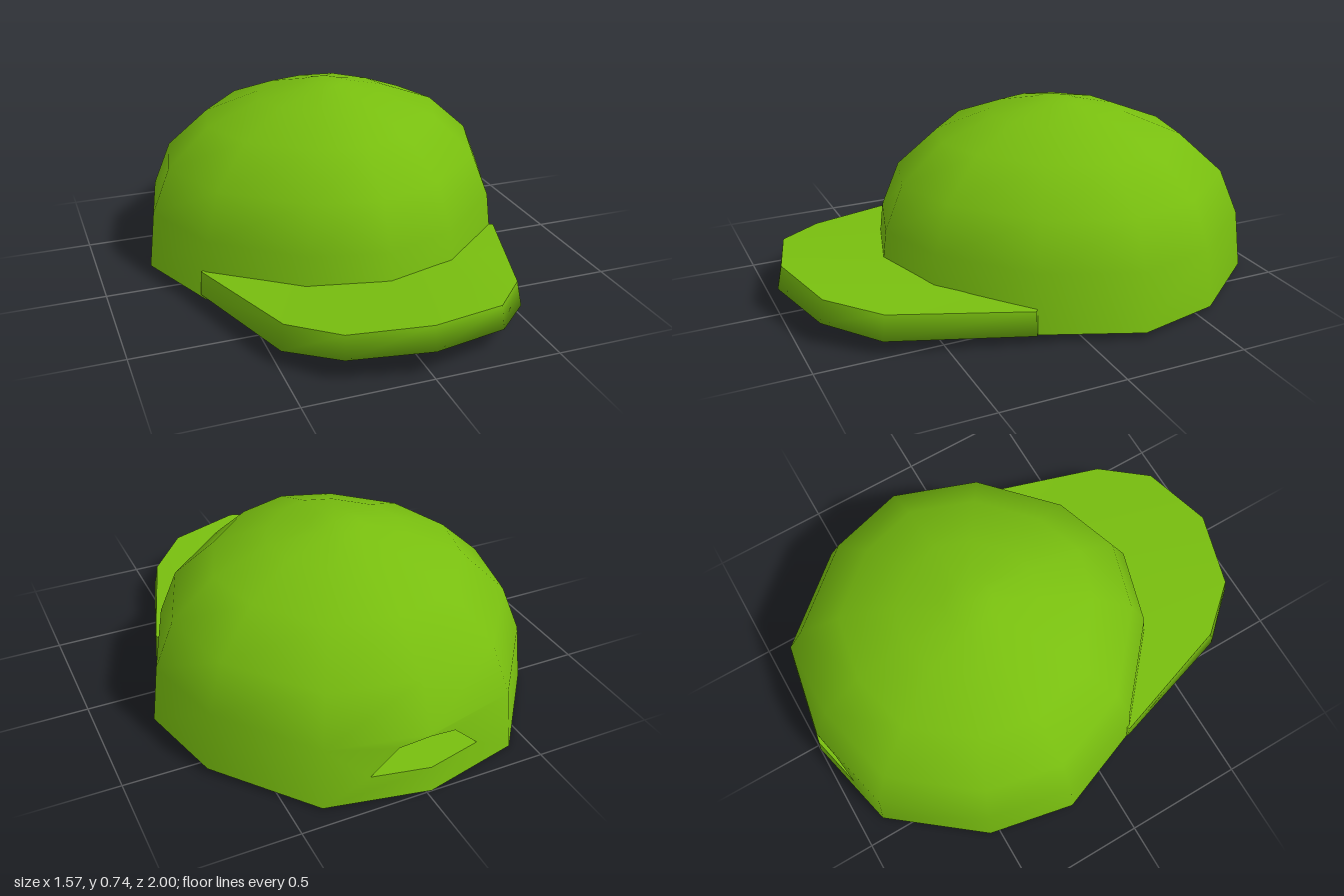
import * as THREE from 'three';
import { mergeGeometries, mergeVertices } from 'three/addons/utils/BufferGeometryUtils.js';

const V = (x, y, z) => new THREE.Vector3(x, y, z);

// Geometry from triangles given as a flat list of points
const fromTriangles = (pts) => new THREE.BufferGeometry().setFromPoints(pts);
const smooth = (geo) => {
  const g = mergeVertices(geo, 1e-4);
  g.computeVertexNormals();
  return g;
};
const flat = (geo) => {
  geo.computeVertexNormals();
  return geo;
};
const quad = (a, b, c, d) => [a, b, c, a, c, d];

// Strip of quads between two rows of points
const strip = (low, high) => {
  const pts = [];
  for (let i = 0; i < low.length - 1; i++) pts.push(...quad(low[i], low[i + 1], high[i + 1], high[i]));
  return pts;
};

// Crown footprint [x, z], from the front round by +x
const CENTRE_Z = -0.21;
const FOOT = [
  [0.01, 0.58], [0.32, 0.475], [0.64, 0.18], [0.785, -0.21], [0.69, -0.565], [0.385, -0.925],
  [-0.02, -1], [-0.42, -0.905], [-0.71, -0.54], [-0.785, -0.18], [-0.64, 0.2], [-0.305, 0.49],
];
// Crown profile [radius factor, height]
const PROFILE = [[1, 0.02], [0.965, 0.26], [0.868, 0.447], [0.645, 0.605], [0.36, 0.692], [0.125, 0.735], [0, 0.738]];

function crownPoint(ring, column) {
  const [s, h] = PROFILE[ring];
  const [x, z] = FOOT[column % FOOT.length];
  const dz = (z - CENTRE_Z) * s;
  return V(x * s, h + 0.025 * dz + 0.01 * x * s, CENTRE_Z + dz);
}

// Point on the lowest band of one crown column
function bandPoint(column, u, v) {
  const low = crownPoint(0, column).lerp(crownPoint(0, column + 1), u);
  const high = crownPoint(1, column).lerp(crownPoint(1, column + 1), u);
  return low.lerp(high, v);
}

// Back opening: half profile [distance from the centre column, height in band]
const OPENING = [[0, 0.42], [0.57, 0.42], [0.3, 0.85], [0, 0.97]];
const BACK = 6;

function crownGeometry() {
  const pts = [];
  for (let r = 0; r < PROFILE.length - 1; r++) {
    for (let c = 0; c < FOOT.length; c++) {
      if (r === 0 && (c === BACK - 1 || c === BACK)) continue;
      const a = crownPoint(r, c), b = crownPoint(r, c + 1);
      const d = crownPoint(r + 1, c), e = crownPoint(r + 1, c + 1);
      if (r === PROFILE.length - 2) pts.push(a, b, e);
      else pts.push(...quad(a, b, e, d));
    }
  }
  const parts = [fromTriangles(pts)];
  // The two rear panels, cut away around the opening
  for (const column of [BACK - 1, BACK]) {
    const outline = [[1, 0], [0, 0], ...OPENING, [0, 1], [1, 1]];
    const shape = new THREE.Shape(outline.map(([d, v]) => new THREE.Vector2(column === BACK ? d : 1 - d, v)));
    const panel = new THREE.ShapeGeometry(shape).toNonIndexed();
    const p = panel.attributes.position;
    const mapped = [];
    for (let i = 0; i < p.count; i++) mapped.push(bandPoint(column, p.getX(i), p.getY(i)));
    parts.push(fromTriangles(mapped));
  }
  return smooth(mergeGeometries(parts));
}

// Flat floor closing the crown
function baseGeometry() {
  const pts = [];
  const centre = V(0, PROFILE[0][1], CENTRE_Z);
  for (let c = 0; c < FOOT.length; c++) pts.push(centre, crownPoint(0, c + 1), crownPoint(0, c));
  return flat(fromTriangles(pts));
}

// Pocket running inward from the back opening
function pocketGeometry() {
  const right = OPENING.map(([d, v]) => bandPoint(BACK, d, v));
  const left = OPENING.map(([d, v]) => bandPoint(BACK - 1, 1 - d, v));
  const loop = [...right, left[2], left[1], right[0]];
  const inner = loop.map((p) => V(p.x, p.y, -0.6));
  const pts = strip(inner, loop);
  for (let i = 1; i < inner.length - 2; i++) pts.push(inner[0], inner[i], inner[i + 1]);
  return flat(fromTriangles(pts));
}

// Brim half rows, from the centre out to the side: [x, y, z]
const BRIM = {
  innerTop: [[0, 0.165, 0.53], [0.28, 0.155, 0.43], [0.42, 0.148, 0.3], [0.55, 0.14, 0.18], [0.5, 0.14, 0.12]],
  outerTop: [[0, 0.205, 0.98], [0.305, 0.183, 0.9], [0.47, 0.158, 0.715], [0.645, 0.138, 0.185], [0.56, 0.138, 0.12]],
  outerLow: [[0, 0.11, 1], [0.31, 0.09, 0.915], [0.485, 0.058, 0.73], [0.652, 0.038, 0.185], [0.56, 0.042, 0.12]],
  innerLow: [[0, 0.05, 0.53], [0.28, 0.048, 0.43], [0.42, 0.046, 0.3], [0.55, 0.044, 0.18], [0.5, 0.044, 0.12]],
};
const fullRow = (half) => [
  ...half.slice(1).reverse().map(([x, y, z]) => V(-x, y, z)),
  ...half.map(([x, y, z]) => V(x, y, z)),
];

export function createModel() {
  const green = new THREE.MeshStandardMaterial({ color: 0x78be0f, side: THREE.DoubleSide });
  green.name = 'leaf green';
  const model = new THREE.Group();
  model.name = 'cap';
  const add = (name, geometry, parent = model) => {
    const mesh = new THREE.Mesh(geometry, green);
    mesh.name = name;
    parent.add(mesh);
  };

  add('crown', crownGeometry());
  add('base', baseGeometry());
  add('backOpening', pocketGeometry());

  const brim = new THREE.Group();
  brim.name = 'brim';
  model.add(brim);
  const innerTop = fullRow(BRIM.innerTop), outerTop = fullRow(BRIM.outerTop);
  const outerLow = fullRow(BRIM.outerLow), innerLow = fullRow(BRIM.innerLow);
  add('brimTop', smooth(fromTriangles(strip(outerTop, innerTop))), brim);
  add('brimEdge', smooth(fromTriangles([...strip(outerLow, outerTop), ...strip(innerLow, outerLow)])), brim);
  return model;
}
